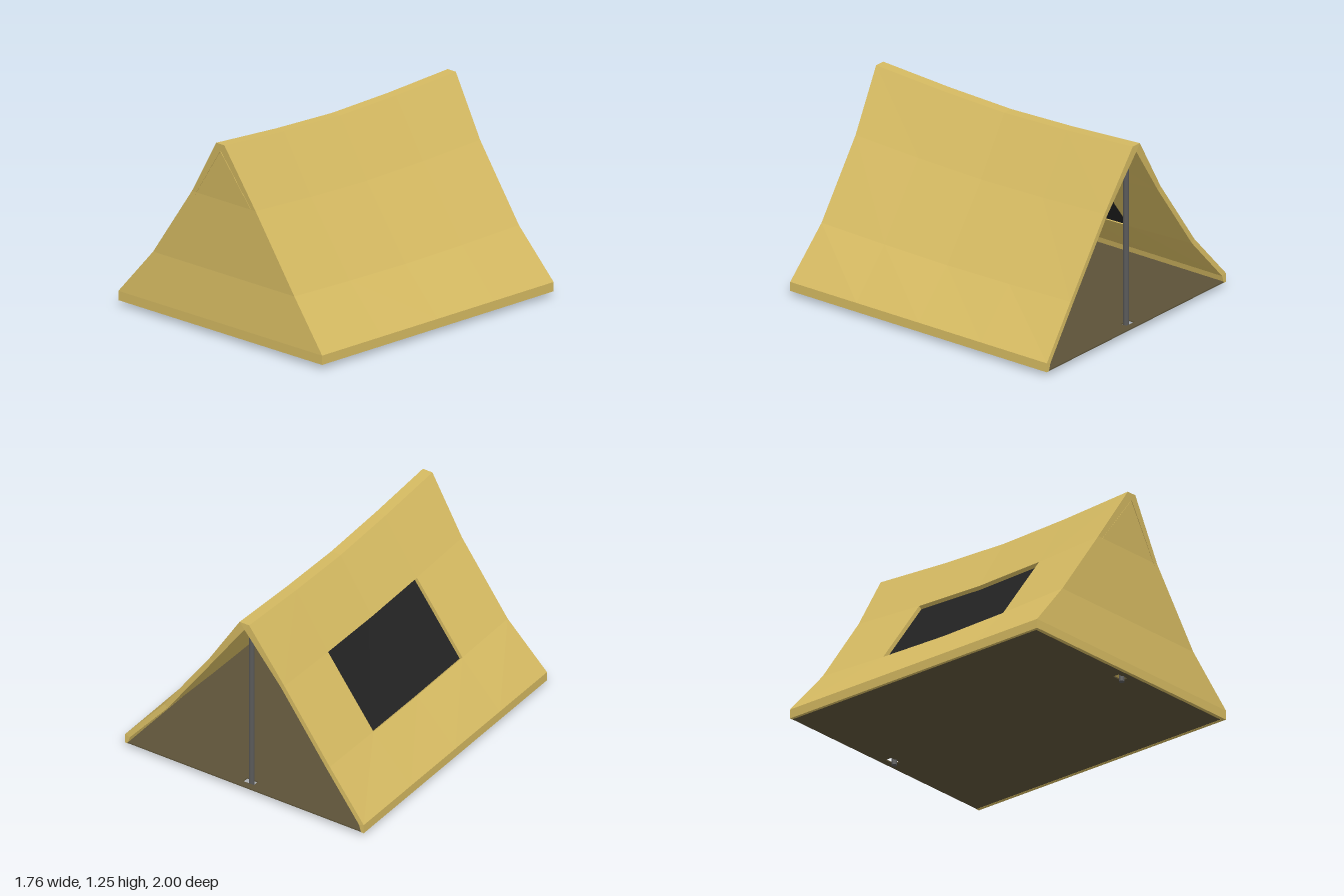
import * as THREE from 'three';

// Half cross-section from hem to ridge: outer skin and inner skin
const OUTER = [[0.88, 0.03], [0.88, 0.09], [0.61, 0.4], [0.275, 0.87], [0.035, 1.245]];
const INNER = [[0.86, 0.03], [0.845, 0.08], [0.585, 0.38], [0.25, 0.85], [0, 1.2]];
const STATIONS = [-1, -0.485, 0, 0.485, 1];
const SAG = [0, 0.03, 0.045, 0.03, 0];
const SAG_BY_ROW = [0, 0, 0.5, 0.8, 1];

const cloth = new THREE.MeshStandardMaterial({ color: 0xd4b961, flatShading: true, side: THREE.DoubleSide });
const groundCloth = new THREE.MeshStandardMaterial({ color: 0x5c5238, side: THREE.DoubleSide });
const mesh = new THREE.MeshStandardMaterial({ color: 0x222222, side: THREE.DoubleSide });
const metal = new THREE.MeshStandardMaterial({ color: 0x5a5a5a });

// Point on a skin: profile, side (+1/-1), row up the slope, station along z
function point(profile, side, row, i) {
  const [x, y] = profile[row];
  const middleRow = row === 2 || row === 3;
  const z = Math.abs(STATIONS[i]) === 1 && middleRow ? STATIONS[i] * 0.97 : STATIONS[i];
  const pinch = middleRow ? SAG[i] * 0.2 : 0;
  return [side * (x - pinch), y - SAG[i] * SAG_BY_ROW[row], z];
}

// Collects four-cornered faces, corners anticlockwise from outside
class Faces {
  constructor() { this.p = []; }
  quad(a, b, c, d, flip = false) {
    const [q, s] = flip ? [d, b] : [b, d];
    this.p.push(...a, ...q, ...c, ...a, ...c, ...s);
  }
  build(name, material) {
    const g = new THREE.BufferGeometry();
    g.setAttribute('position', new THREE.Float32BufferAttribute(this.p, 3));
    g.computeVertexNormals();
    const m = new THREE.Mesh(g, material);
    m.name = name;
    return m;
  }
}

function sidePanel(side) {
  const f = new Faces(), flip = side < 0;
  const hasWindow = (r, i) => side < 0 && r === 2 && (i === 1 || i === 2);
  for (let i = 0; i < 4; i++) {
    for (let r = 0; r < 4; r++) {
      if (hasWindow(r, i)) continue;
      for (const skin of [OUTER, INNER]) {
        f.quad(point(skin, side, r, i), point(skin, side, r + 1, i),
          point(skin, side, r + 1, i + 1), point(skin, side, r, i + 1), (skin === INNER) !== flip);
      }
    }
    // hem underside
    f.quad(point(OUTER, side, 0, i), point(OUTER, side, 0, i + 1),
      point(INNER, side, 0, i + 1), point(INNER, side, 0, i), flip);
  }
  // cut edge at the open back
  for (let r = 0; r < 4; r++) {
    f.quad(point(OUTER, side, r, 0), point(INNER, side, r, 0),
      point(INNER, side, r + 1, 0), point(OUTER, side, r + 1, 0), flip);
  }
  // rim of the window opening
  if (side < 0) {
    const loop = [[2, 1], [2, 2], [2, 3], [3, 3], [3, 2], [3, 1]];
    loop.forEach(([r, i], k) => {
      const [r2, i2] = loop[(k + 1) % loop.length];
      f.quad(point(OUTER, side, r, i), point(OUTER, side, r2, i2),
        point(INNER, side, r2, i2), point(INNER, side, r, i));
    });
  }
  return f.build(side > 0 ? 'leftPanel' : 'rightPanel', cloth);
}

function ridge() {
  const f = new Faces();
  for (let i = 0; i < 4; i++) {
    f.quad(point(OUTER, -1, 4, i), point(OUTER, -1, 4, i + 1),
      point(OUTER, 1, 4, i + 1), point(OUTER, 1, 4, i));
  }
  // small triangle closing the back of the ridge
  const tip = point(INNER, 1, 4, 0);
  f.p.push(...point(OUTER, 1, 4, 0), ...tip, ...point(OUTER, -1, 4, 0));
  return f.build('ridge', cloth);
}

function frontWall() {
  const f = new Faces();
  for (let r = 0; r < 4; r++) {
    for (const depth of [0, 0.025]) {
      const skin = depth ? INNER : OUTER;
      const at = (side, row) => {
        const [x, y, z] = point(skin, side, row, 4);
        return [x, y, z - depth];
      };
      f.quad(at(-1, r), at(1, r), at(1, r + 1), at(-1, r + 1), depth > 0);
    }
  }
  f.quad([-0.88, 0.03, 1], [-0.86, 0.03, 0.975], [0.86, 0.03, 0.975], [0.88, 0.03, 1]);
  return f.build('frontWall', cloth);
}

function windowScreen() {
  const f = new Faces();
  const at = (r, i) => {
    const a = point(OUTER, -1, r, i), b = point(INNER, -1, r, i);
    return a.map((v, k) => v + (b[k] - v) * 0.8);
  };
  for (const i of [1, 2]) f.quad(at(2, i), at(2, i + 1), at(3, i + 1), at(3, i));
  return f.build('windowScreen', mesh);
}

function rectangle(path, x, y, w, h) {
  path.moveTo(x - w / 2, y - h / 2).lineTo(x + w / 2, y - h / 2);
  path.lineTo(x + w / 2, y + h / 2).lineTo(x - w / 2, y + h / 2).closePath();
  return path;
}

export function createModel() {
  const tent = new THREE.Group();
  tent.name = 'tent';
  tent.add(sidePanel(1), sidePanel(-1), ridge(), frontWall(), windowScreen());

  // floor with a slot for each pole
  const outline = rectangle(new THREE.Shape(), 0, 0, 1.72, 1.975);
  for (const s of [-1, 1]) outline.holes.push(rectangle(new THREE.Path(), 0, s * 0.92, 0.08, 0.045));
  const floorGeometry = new THREE.ExtrudeGeometry(outline, { depth: 0.008, bevelEnabled: false });
  floorGeometry.rotateX(-Math.PI / 2).translate(0, 0.032, -0.0125);
  const floor = new THREE.Mesh(floorGeometry, groundCloth);
  floor.name = 'floor';
  tent.add(floor);

  // upright pole at each end
  for (const s of [-1, 1]) {
    const pole = new THREE.Mesh(new THREE.CylinderGeometry(0.018, 0.018, 1.18, 12), metal);
    pole.name = s > 0 ? 'frontPole' : 'backPole';
    pole.position.set(0, 0.59, s * 0.92);
    tent.add(pole);
  }
  return tent;
}
